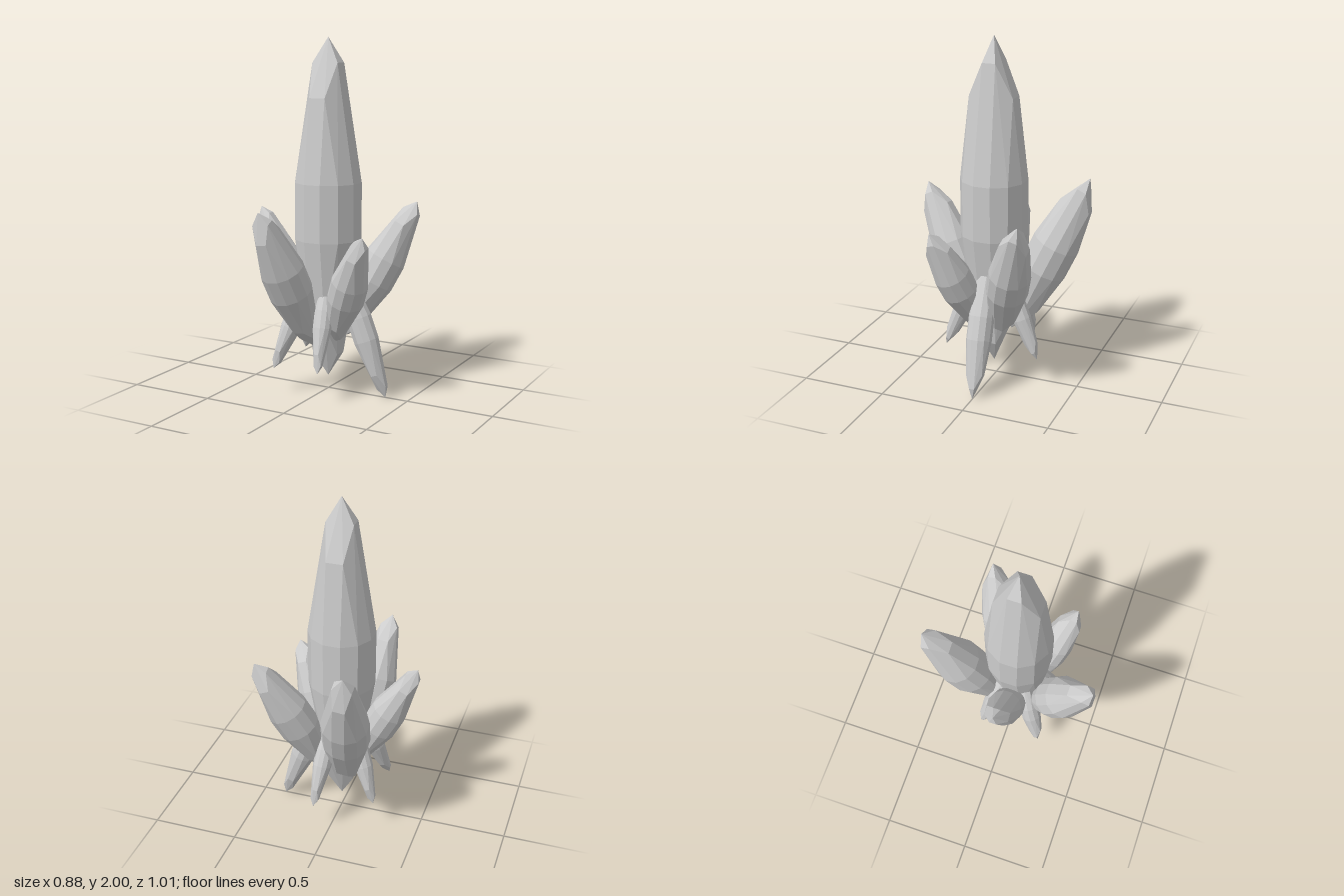
import * as THREE from 'three';
import { ConvexGeometry } from 'three/addons/geometries/ConvexGeometry.js';

// Faceted unit crystal: pointed ends, two tapering rows and a twelve-sided waist.
function crystalPoints() {
  const pts = [];
  for (const s of [1, -1]) {
    pts.push(new THREE.Vector3(0, s, 0));
    for (const a of [1, -1]) {
      for (const b of [1, -1]) {
        pts.push(new THREE.Vector3(a * 0.41, s * 0.854, b * 0.2));
        pts.push(new THREE.Vector3(a * 0.25, s * 0.656, b * 0.67));
      }
    }
    for (let i = 0; i < 12; i++) {
      const t = ((i + 0.5) / 12) * Math.PI * 2;
      pts.push(new THREE.Vector3(Math.cos(t), s * 0.167, Math.sin(t)));
    }
  }
  return pts;
}

export function createModel() {
  const group = new THREE.Group();
  const stone = new THREE.MeshStandardMaterial({ color: 0xcccccc, flatShading: true });
  stone.name = 'paleGreyCrystal';
  const geometry = new ConvexGeometry(crystalPoints());
  const up = new THREE.Vector3(0, 1, 0);

  // Stretch one crystal between two tips.
  function addCrystal(name, from, to, radius) {
    const a = new THREE.Vector3(...from);
    const b = new THREE.Vector3(...to);
    const axis = b.clone().sub(a);
    const mesh = new THREE.Mesh(geometry, stone);
    mesh.name = name;
    mesh.position.copy(a).add(b).multiplyScalar(0.5);
    mesh.scale.set(radius, axis.length() / 2, radius);
    mesh.quaternion.setFromUnitVectors(up, axis.normalize());
    group.add(mesh);
  }

  // Tall central spire
  addCrystal('centralCrystal', [0.004, 0.08, 0.012], [0.004, 2, 0.012], 0.192);

  // Large crystals leaning up and outward
  addCrystal('frontCrystal', [-0.04, 0.27, 0.1], [-0.155, 1.08, 0.495], 0.124);
  addCrystal('backCrystal', [-0.06, 0.27, -0.07], [-0.165, 1.21, -0.495], 0.137);
  addCrystal('rightCrystal', [-0.06, 0.31, 0.025], [-0.44, 1.03, 0.01], 0.104);
  addCrystal('backLeftCrystal', [0.06, 0.3, -0.05], [0.415, 1.08, -0.285], 0.118);
  addCrystal('frontLeftCrystal', [0.07, 0.3, 0.06], [0.345, 0.95, 0.26], 0.104);

  // Slim crystals pointing down and outward
  addCrystal('leftLowerCrystal', [0.365, 0, 0], [0.08, 0.76, 0.015], 0.073);
  addCrystal('frontLowerCrystal', [0.085, 0.17, 0.285], [0.03, 0.72, 0.05], 0.054);
  addCrystal('backLowerCrystal', [0.085, 0.17, -0.285], [0.03, 0.72, -0.04], 0.054);
  addCrystal('frontRightLowerCrystal', [-0.235, 0.14, 0.22], [-0.06, 0.7, 0.05], 0.058);
  addCrystal('backRightLowerCrystal', [-0.24, 0.17, -0.15], [-0.06, 0.7, -0.03], 0.055);

  return group;
}
